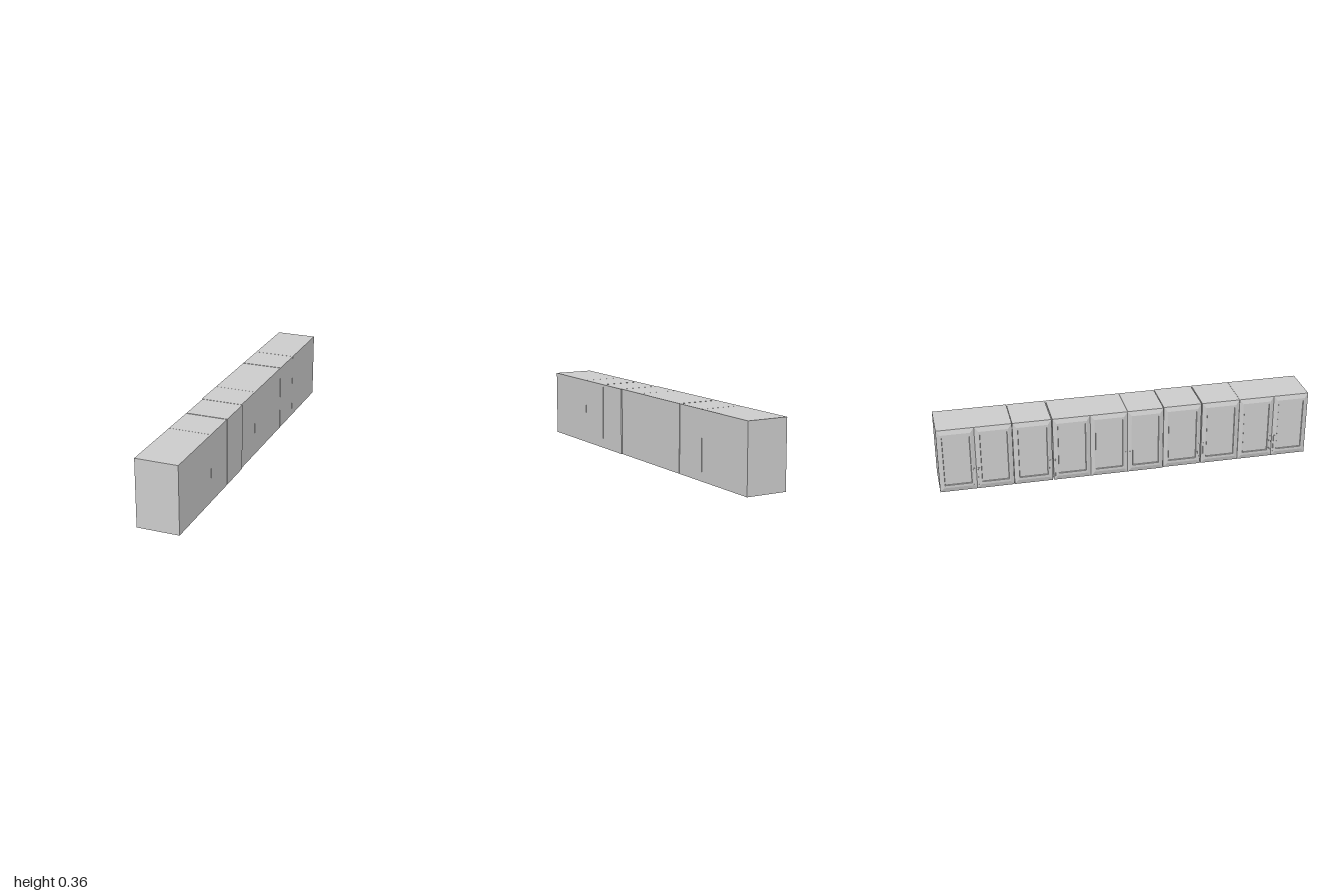
import * as THREE from 'three';

const HEIGHT = 0.36;
const material = new THREE.MeshStandardMaterial({ color: 0xcccccc, flatShading: true });

// Door front lofted through nested rectangles: chamfer, flat rim, recess wall, panel.
// Each ring is [inset in width, inset in height, distance out of the carcass].
function doorGeometry(width) {
  const rings = [[0, 0, 0], [0.02, 0.025, 0.0075], [0.026, 0.04, 0.0075], [0.028, 0.042, 0.003]]
    .map(([ix, iy, out]) => {
      const x = width / 2 - ix, y = HEIGHT / 2 - iy;
      return [[-x, -y, out], [x, -y, out], [x, y, out], [-x, y, out]];
    });
  const points = [];
  const quad = (a, b, c, d) => points.push(...a, ...b, ...c, ...a, ...c, ...d);
  for (let r = 0; r < rings.length - 1; r++) {
    for (let i = 0; i < 4; i++) {
      const j = (i + 1) % 4;
      quad(rings[r][i], rings[r][j], rings[r + 1][j], rings[r + 1][i]);
    }
  }
  quad(...rings[rings.length - 1]);
  const geometry = new THREE.BufferGeometry();
  geometry.setAttribute('position', new THREE.Float32BufferAttribute(points, 3));
  geometry.computeVertexNormals();
  return geometry;
}

function addMesh(parent, name, geometry, x, y, z) {
  const mesh = new THREE.Mesh(geometry, material);
  mesh.name = name;
  mesh.position.set(x, y, z);
  parent.add(mesh);
  return mesh;
}

// One cabinet: carcass box from z0 to z1 with equal doors on its -x side.
function makeCabinet(z0, z1, doors, shift, firstDoor) {
  const cabinet = new THREE.Group();
  cabinet.name = 'cabinet';
  const front = -0.105 + shift, back = 0.118 + shift;
  addMesh(cabinet, 'carcass', new THREE.BoxGeometry(back - front, HEIGHT, z1 - z0),
    (front + back) / 2, HEIGHT / 2, (z0 + z1) / 2);

  const width = (z1 - z0) / doors;
  for (let i = 0; i < doors; i++) {
    const z = z0 + (i + 0.5) * width;
    const door = addMesh(cabinet, 'door', doorGeometry(width), front - 0.0002, HEIGHT / 2, z);
    door.rotation.y = -Math.PI / 2;
    // Handles alternate sides so that neighbouring doors open as pairs
    const side = (firstDoor + i) % 2 === 0 ? 1 : -1;
    addMesh(cabinet, 'handle', new THREE.BoxGeometry(0.008, 0.1, 0.009),
      front - 0.0045, 0.075, z + side * (width / 2 - 0.013));
  }
  return cabinet;
}

export function createModel() {
  const model = new THREE.Group();
  model.name = 'wallCabinetRow';
  // [z start, z end, door count, x shift]
  const cabinets = [
    [-1, -0.611, 2, -0.0055],
    [-0.609, -0.405, 1, -0.0055],
    [-0.4, -0.001, 2, -0.0055],
    [0, 0.194, 1, -0.0055],
    [0.197, 0.403, 1, 0],
    [0.408, 0.614, 1, 0],
    [0.615, 1, 2, 0],
  ];
  let firstDoor = 0;
  for (const [z0, z1, doors, shift] of cabinets) {
    model.add(makeCabinet(z0, z1, doors, shift, firstDoor));
    firstDoor += doors;
  }
  return model;
}
